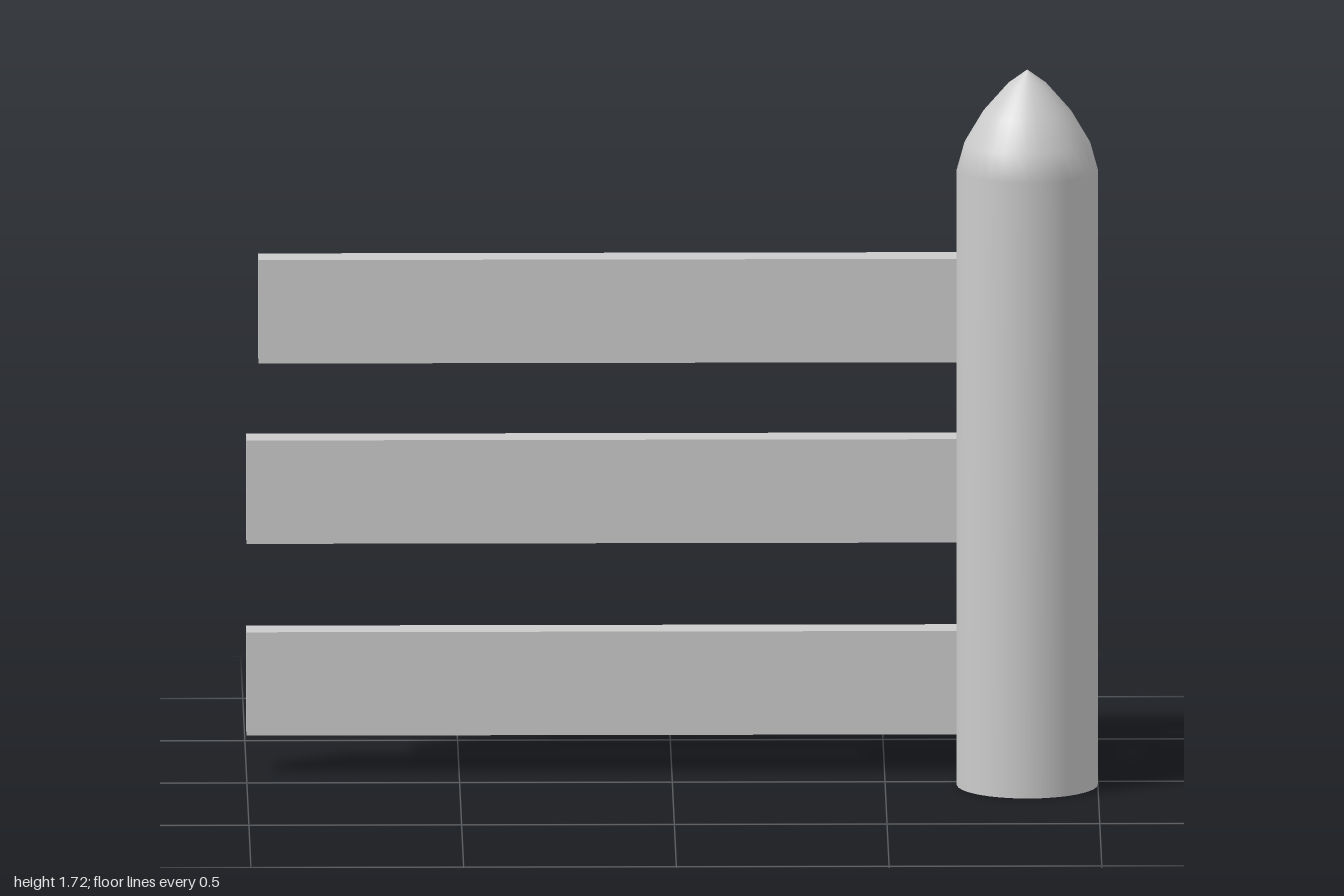
import * as THREE from 'three';

export function createModel() {
  const model = new THREE.Group();
  model.name = 'fenceSection';
  const material = new THREE.MeshStandardMaterial({ color: 0xcccccc });
  const shellMaterial = new THREE.MeshStandardMaterial({ color: 0xcccccc, side: THREE.DoubleSide });

  // Round post with a pointed top, open underneath
  const profile = [
    [0.166, 0], [0.166, 1.475], [0.148, 1.54], [0.105, 1.613], [0.045, 1.682], [0, 1.715],
  ].map(([r, y]) => new THREE.Vector2(r, y));
  const post = new THREE.Mesh(new THREE.LatheGeometry(profile, 32), shellMaterial);
  post.name = 'post';
  post.position.set(0.834, 0, 0.036);
  model.add(post);

  // Three equal planks behind the post; the top one is slightly offset
  const plankGeometry = new THREE.BoxGeometry(1.827, 0.248, 0.08);
  const planks = [
    ['bottomPlank', -0.0865, 0.216, -0.145],
    ['middlePlank', -0.0865, 0.676, -0.145],
    ['topPlank', -0.058, 1.105, -0.162],
  ];
  for (const [name, x, y, z] of planks) {
    const plank = new THREE.Mesh(plankGeometry, material);
    plank.name = name;
    plank.position.set(x, y, z);
    model.add(plank);
  }
  return model;
}
